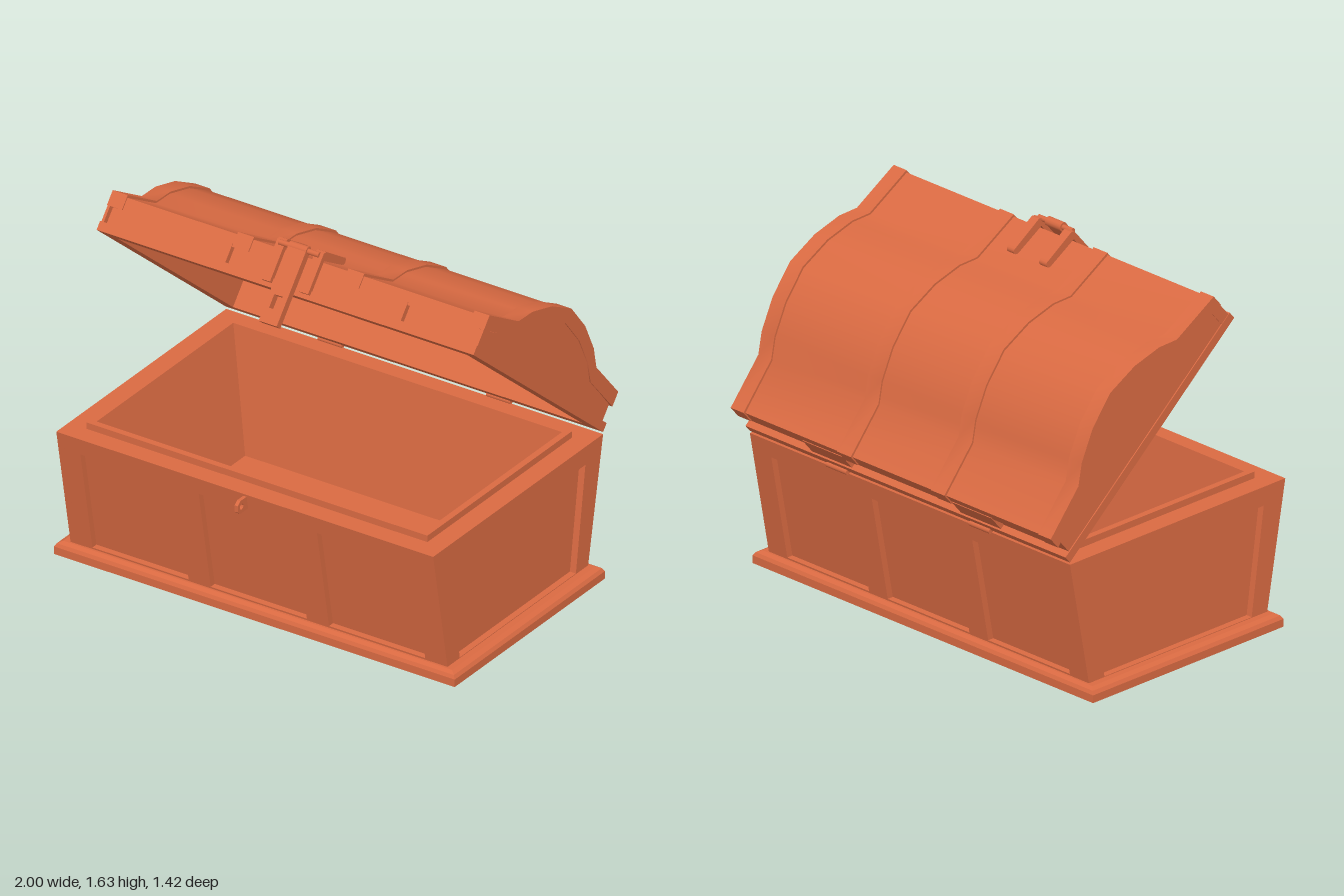
import * as THREE from 'three';
import { toCreasedNormals } from 'three/addons/utils/BufferGeometryUtils.js';

const material = new THREE.MeshStandardMaterial({ color: 0xd96a42 });

function add(parent, name, geometry) {
  const mesh = new THREE.Mesh(geometry, material);
  mesh.name = name;
  parent.add(mesh);
  return mesh;
}

// Box given by its limits on each axis
function block(x0, x1, y0, y1, z0, z1) {
  return new THREE.BoxGeometry(x1 - x0, y1 - y0, z1 - z0)
    .translate((x0 + x1) / 2, (y0 + y1) / 2, (z0 + z1) / 2);
}

function polygon(points) {
  return new THREE.Shape(points.map(([a, b]) => new THREE.Vector2(a, b)));
}

const rect = (x0, x1, y0, y1) => [[x0, y0], [x1, y0], [x1, y1], [x0, y1]];

// Side outline in (z, y), extruded from x0 to x1
function slab(shape, x0, x1) {
  const g = new THREE.ExtrudeGeometry(shape, { depth: x1 - x0, bevelEnabled: false, curveSegments: 12 });
  g.rotateY(-Math.PI / 2).translate(x1, 0, 0);
  return toCreasedNormals(g, 0.65);
}

// Rod along x
function rod(r, length, y, z, x = 0) {
  return new THREE.CylinderGeometry(r, r, length, 12).rotateZ(Math.PI / 2).translate(x, y, z);
}

// Joins rectangular rings [y, half width, front z, back z] and caps both ends
function loft(rings) {
  const corners = rings.map(([y, x, f, b]) => [[x, y, f], [x, y, b], [-x, y, b], [-x, y, f]]);
  const pos = [];
  const quad = (a, b, c, d) => pos.push(...a, ...b, ...c, ...a, ...c, ...d);
  for (let i = 0; i + 1 < corners.length; i++) {
    for (let j = 0; j < 4; j++) {
      const k = (j + 1) % 4;
      quad(corners[i][j], corners[i][k], corners[i + 1][k], corners[i + 1][j]);
    }
  }
  const [a, b, c, d] = corners[0];
  quad(d, c, b, a);
  quad(...corners[corners.length - 1]);
  const g = new THREE.BufferGeometry();
  g.setAttribute('position', new THREE.Float32BufferAttribute(pos, 3));
  g.computeVertexNormals();
  return g;
}

// Long wall frame with three panel openings, leaning outwards
function panelFrame(z0, slope) {
  const shape = polygon(rect(-0.94, 0.94, 0.06, 0.63));
  for (const [a, b] of [[-0.83, -0.35], [-0.24, 0.24], [0.35, 0.83]]) {
    shape.holes.push(polygon(rect(a, b, 0.068, 0.55)));
  }
  const g = new THREE.ExtrudeGeometry(shape, { depth: 0.03, bevelEnabled: false });
  const p = g.attributes.position;
  for (let i = 0; i < p.count; i++) {
    p.setZ(i, p.getZ(i) + z0 + (p.getY(i) - 0.06) * slope);
  }
  g.computeVertexNormals();
  return g;
}

function buildBase() {
  const base = new THREE.Group();
  base.name = 'base';

  // Plinth, hollowed underneath
  add(base, 'plinth', loft([
    [0.05, 0.81, 0.47, -0.41], [0, 0.81, 0.47, -0.41], [0, 1, 0.58, -0.525],
    [0.035, 1, 0.58, -0.525], [0.05, 0.99, 0.572, -0.517], [0.06, 0.97, 0.555, -0.5],
  ]));

  // Hollow box with raised inner lip
  add(base, 'box', loft([
    [0.06, 0.91, 0.515, -0.46], [0.63, 0.91, 0.62, -0.57], [0.63, 0.85, 0.56, -0.505],
    [0.66, 0.85, 0.56, -0.505], [0.66, 0.82, 0.53, -0.475], [0.1, 0.71, 0.46, -0.4],
  ]));

  add(base, 'frontFrame', panelFrame(0.515, 0.184));
  add(base, 'backFrame', panelFrame(-0.49, -0.193));

  // End frames with one tapered opening
  const end = polygon([[0.545, 0.06], [0.65, 0.63], [-0.6, 0.63], [-0.49, 0.06]]);
  end.holes.push(polygon([[0.455, 0.063], [0.525, 0.545], [-0.47, 0.545], [-0.4, 0.063]]));
  add(base, 'leftFrame', slab(end, 0.91, 0.94));
  add(base, 'rightFrame', slab(end, -0.94, -0.91));

  // Staple for the clasp
  const staple = polygon([[0.62, 0.56], [0.695, 0.56], [0.713, 0.575], [0.713, 0.605],
    [0.695, 0.62], [0.62, 0.62]]);
  staple.holes.push(new THREE.Path().absarc(0.685, 0.59, 0.013, 0, Math.PI * 2));
  add(base, 'staple', slab(staple, -0.008, 0.008));

  for (const x of [-0.42, 0.42]) add(base, 'hinge', rod(0.012, 0.12, 0.637, -0.604, x));
  return base;
}

// Lid is modelled closed, with the hinge line at its origin
function buildLid() {
  const lid = new THREE.Group();
  lid.name = 'lid';

  const arch = [[0.005, 0.178], [0.25, 0.219], [0.33, 0.283], [0.465, 0.345], [0.625, 0.378],
    [0.785, 0.345], [0.92, 0.283], [1, 0.219], [1.245, 0.178]];
  const inner = arch.map(([u, v]) => [u, v - 0.066]);
  const shell = (drop, inset) => {
    const outer = arch.map(([u, v]) => [THREE.MathUtils.clamp(u, 0.005 + inset, 1.245 - inset), v - drop]);
    const under = inner.map(([u, v]) => [THREE.MathUtils.clamp(u, 0.005 + inset, 1.245 - inset), v]);
    return polygon([...outer, ...under.reverse()]);
  };

  // Arched cover and its four raised bands
  add(lid, 'cover', slab(shell(0.01, 0.006), -0.9, 0.9));
  for (const [a, b] of [[-0.94, -0.865], [-0.315, -0.235], [0.235, 0.315], [0.865, 0.94]]) {
    add(lid, 'band', slab(shell(0, 0), a, b));
  }

  // End walls
  const wall = polygon([[0.03, 0],
    ...inner.map(([u, v]) => [THREE.MathUtils.clamp(u, 0.03, 1.215), v + 0.002]), [1.215, 0]]);
  add(lid, 'leftWall', slab(wall, 0.87, 0.935));
  add(lid, 'rightWall', slab(wall, -0.935, -0.87));

  // Front and back walls, set back below the cover
  add(lid, 'backWall', block(-0.9, 0.9, 0.01, 0.118, 0.03, 0.07));
  add(lid, 'frontWall', block(-0.9, 0.9, 0.01, 0.118, 1.18, 1.215));

  // Bottom rim
  const rim = polygon(rect(-0.94, 0.94, 0, 1.25));
  rim.holes.push(polygon(rect(-0.87, 0.87, 0.07, 1.18)));
  add(lid, 'rim', new THREE.ExtrudeGeometry(rim, { depth: 0.04, bevelEnabled: false })
    .rotateX(Math.PI / 2).translate(0, 0.04, 0));

  // Blocks dividing the groove, and thin stops at its front ends
  for (const s of [-1, 1]) {
    const [a, b] = s < 0 ? [-0.555, -0.32] : [0.32, 0.555];
    add(lid, 'frontBlock', block(a, b, 0.03, 0.125, 1.19, 1.242));
    add(lid, 'backBlock', block(a, b, 0.03, 0.125, 0.008, 0.06));
    add(lid, 'endStop', block(s * 0.932 - 0.006, s * 0.932 + 0.006, 0.03, 0.125, 1.19, 1.242));
  }

  lid.add(buildClasp());
  lid.position.set(0, 0.64, -0.6);
  lid.rotation.x = -0.703;
  return lid;
}

function buildClasp() {
  const clasp = new THREE.Group();
  clasp.name = 'clasp';

  // Angled straps over the front edge
  const strap = polygon([[1.245, 0.02], [1.27, 0.02], [1.27, 0.2], [1.258, 0.212],
    [1.09, 0.232], [1.09, 0.2], [1.245, 0.175]]);
  for (const x of [-0.095, 0.095]) {
    add(clasp, 'strap', slab(strap, x - 0.021, x + 0.021));
    add(clasp, 'strapEnd', rod(0.016, 0.042, 0.217, 1.092, x));
  }
  add(clasp, 'pin', rod(0.012, 0.2, 0.19, 1.272));
  add(clasp, 'barrel', rod(0.021, 0.09, 0.19, 1.272));

  // Hanging arm with a slot
  const arm = polygon(rect(-0.045, 0.045, -0.15, 0.195));
  arm.holes.push(polygon(rect(-0.021, 0.021, -0.085, -0.025)));
  add(clasp, 'arm', new THREE.ExtrudeGeometry(arm, { depth: 0.036, bevelEnabled: false })
    .translate(0, 0, 1.255));
  return clasp;
}

export function createModel() {
  const model = new THREE.Group();
  model.name = 'chest';
  model.add(buildBase(), buildLid());
  return model;
}
